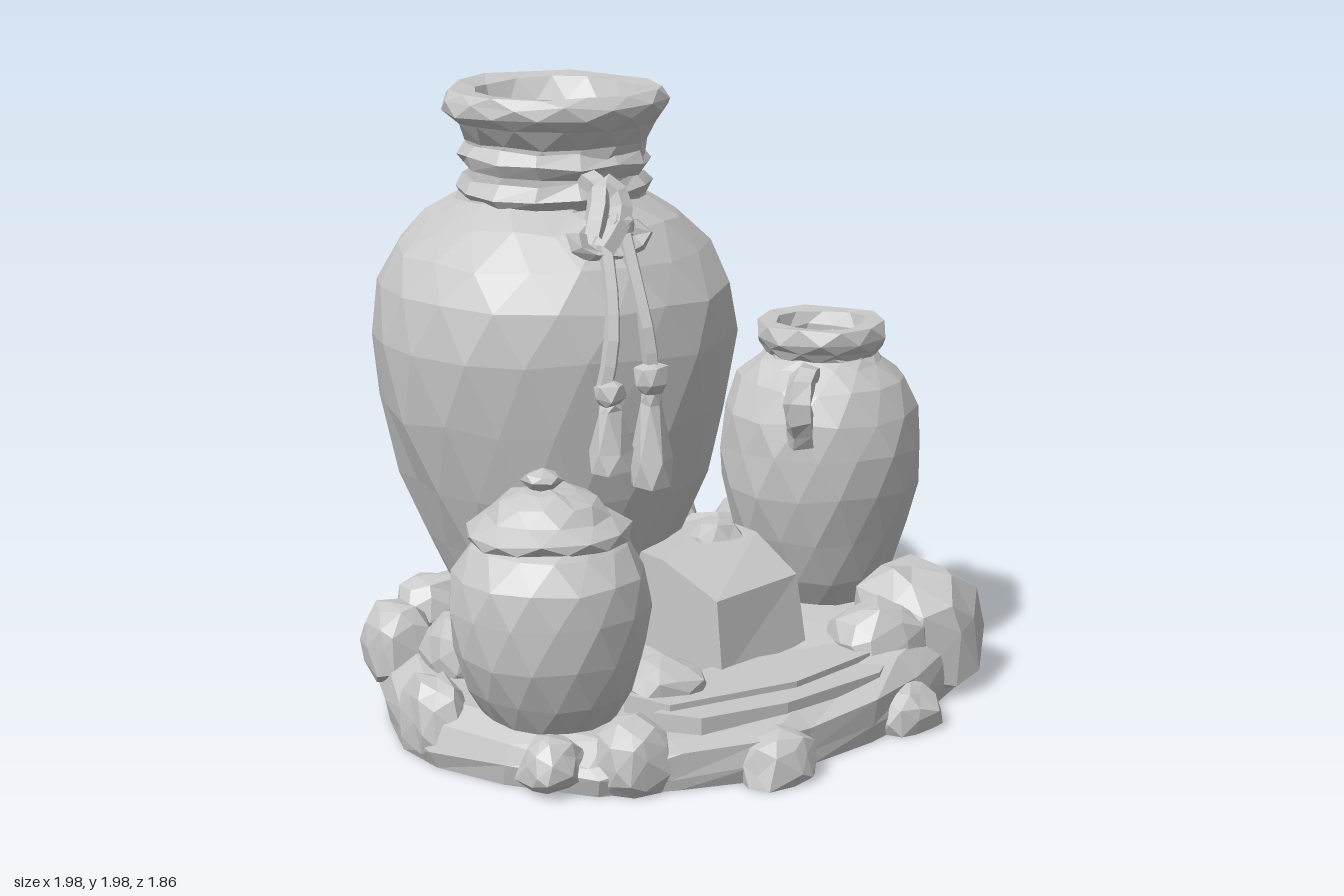
import * as THREE from 'three';

const stone = new THREE.MeshStandardMaterial({ color: 0xc8c8c8, flatShading: true });
stone.name = 'pale grey';

// Repeatable noise from a position, so coincident vertices move together
function noise(x, y, z, seed) {
  const k = (v) => Math.round(v * 100.37);
  const s = Math.sin(k(x) * 12.9898 + k(y) * 78.233 + k(z) * 37.719 + seed * 4.137) * 43758.5453;
  return (s - Math.floor(s)) * 2 - 1;
}

function roughen(geo, amount, seed = 1) {
  const p = geo.attributes.position;
  for (let i = 0; i < p.count; i++) {
    const [x, y, z] = [p.getX(i), p.getY(i), p.getZ(i)];
    p.setXYZ(i, x + amount * noise(x, y, z, seed), y + amount * noise(x, y, z, seed + 7), z + amount * noise(x, y, z, seed + 13));
  }
  geo.computeVertexNormals();
  return geo;
}

function add(parent, name, geo, x = 0, y = 0, z = 0) {
  const mesh = new THREE.Mesh(geo, stone);
  mesh.name = name;
  mesh.position.set(x, y, z);
  parent.add(mesh);
  return mesh;
}

// Turned form whose rings are staggered by half a side, giving triangular facets
function lathe(points, sides, amount, seed) {
  const geo = new THREE.LatheGeometry(points.map(([r, y]) => new THREE.Vector2(r, y)), sides);
  const p = geo.attributes.position, v = new THREE.Vector3(), up = new THREE.Vector3(0, 1, 0);
  for (let i = 0; i < p.count; i++) {
    v.fromBufferAttribute(p, i).applyAxisAngle(up, ((i % points.length) * Math.PI) / sides);
    p.setXYZ(i, v.x, v.y, v.z);
  }
  return roughen(geo, amount, seed);
}

function tube(points, radius, steps = 6, sides = 5) {
  const curve = new THREE.CatmullRomCurve3(points.map((p) => new THREE.Vector3(...p)));
  return new THREE.TubeGeometry(curve, steps, radius, sides);
}

// Blocky faceted rock that widens toward its foot, cut flat at the ground
function rock(parent, x, y, z, rx, ry, rz, seed) {
  const geo = roughen(new THREE.IcosahedronGeometry(1, 1), 0.13, seed);
  const p = geo.attributes.position;
  const square = (v) => Math.sign(v) * Math.min(Math.abs(v) ** 0.85, 1);
  for (let i = 0; i < p.count; i++) {
    const h = square(p.getY(i)), spread = 1 - 0.12 * h;
    p.setXYZ(i, square(p.getX(i)) * rx * spread, Math.max(h * ry, 0.01 - y), square(p.getZ(i)) * rz * spread);
  }
  geo.computeVertexNormals();
  add(parent, 'rock', geo, x, y, z);
}

// Irregular rocky island built from rings of one outline
function islandGeometry() {
  const outline = [[-0.99, 0.02], [-0.97, 0.22], [-0.86, 0.45], [-0.66, 0.69], [-0.42, 0.77], [-0.18, 0.83], [0.05, 0.8],
    [0.32, 0.74], [0.58, 0.64], [0.86, 0.46], [0.98, 0.3], [0.985, 0.08], [0.92, -0.2], [0.8, -0.48], [0.57, -0.68],
    [0.22, -0.81], [-0.2, -0.85], [-0.55, -0.72], [-0.8, -0.48], [-0.92, -0.22]];
  const rings = [[0.98, 0], [1, 0.35], [0.98, 0.72], [0.89, 0.98], [0.5, 1.03]];
  const n = outline.length, pos = [], idx = [];
  rings.forEach(([s, f], r) => outline.forEach(([x, z]) => {
    const wobble = r ? 0.02 * noise(x, r, z, 3) : 0;
    pos.push(x * s + wobble, 0.01 + f * (0.23 - 0.08 * z + 0.04 * x) + wobble * (r < 4 ? 1 : 0.4), z * s + wobble);
  }));
  const top = rings.length * n, bottom = top + 1;
  pos.push(0, 0.25, 0, 0, 0.01, 0);
  for (let i = 0; i < n; i++) {
    const j = (i + 1) % n;
    for (let r = 0; r < rings.length - 1; r++) {
      const a = r * n + i, b = r * n + j;
      idx.push(a, b, b + n, a, b + n, a + n);
    }
    idx.push(top - n + i, top - n + j, top, j, i, bottom);
  }
  const geo = new THREE.BufferGeometry();
  geo.setAttribute('position', new THREE.Float32BufferAttribute(pos, 3));
  geo.setIndex(idx);
  geo.computeVertexNormals();
  return geo;
}

function extrude(points, depth) {
  const shape = new THREE.Shape(points.map(([x, y]) => new THREE.Vector2(x, y)));
  return new THREE.ExtrudeGeometry(shape, { depth, bevelEnabled: false });
}

// Flat stone with a polygon plan given as [x, z] points
function slab(parent, points, y, height) {
  const geo = extrude(points.map(([x, z]) => [x, -z]), height).rotateX(-Math.PI / 2);
  add(parent, 'slab', geo, 0, y, 0);
}

export function createModel() {
  const model = new THREE.Group();
  model.name = 'jarsOnRocks';

  // Ground
  const ground = new THREE.Group();
  ground.name = 'rockyGround';
  model.add(ground);
  add(ground, 'island', islandGeometry());
  const rocks = [
    [0.77, 0.19, 0.32, 0.22, 0.23, 0.22], [0.56, 0.22, 0.4, 0.17, 0.13, 0.15], [-0.27, 0.22, 0.42, 0.13, 0.09, 0.14],
    [-0.52, 0.11, 0.67, 0.12, 0.13, 0.1], [-0.1, 0.06, 0.81, 0.13, 0.11, 0.11], [0.49, 0.05, 0.65, 0.12, 0.1, 0.11],
    [-0.9, 0.13, 0.1, 0.09, 0.14, 0.16], [-0.74, 0.1, 0.56, 0.1, 0.09, 0.1], [-0.81, 0.23, -0.34, 0.11, 0.14, 0.13],
    [-0.69, 0.25, -0.1, 0.14, 0.13, 0.14], [0.64, 0.29, -0.54, 0.13, 0.17, 0.14], [0.44, 0.32, -0.38, 0.17, 0.15, 0.15],
    [0.87, 0.16, 0.02, 0.11, 0.13, 0.18], [-0.58, 0.28, -0.51, 0.15, 0.1, 0.12], [0.18, 0.46, 0.02, 0.12, 0.13, 0.1],
    [0.34, 0.36, -0.64, 0.15, 0.16, 0.14],
  ];
  rocks.forEach((r, i) => rock(ground, ...r, i + 2));

  // Sloped block before the tall jar, side profile as [z, y], and thin layered slabs
  const profile = [[0.24, 0.2], [0.19, 0.42], [-0.03, 0.52], [-0.25, 0.55], [-0.25, 0.2]];
  const block = extrude(profile.map(([z, y]) => [-z, y]).reverse(), 0.42).rotateY(Math.PI / 2).translate(-0.21, 0, 0);
  add(ground, 'block', roughen(block, 0.02, 5), 0.1, 0, 0.14).rotation.y = 0.2;
  slab(ground, [[-0.42, 0.44], [-0.35, 0.6], [0.1, 0.62], [0.5, 0.5], [0.4, 0.38], [0, 0.36]], 0.13, 0.09);
  slab(ground, [[-0.4, 0.58], [-0.3, 0.7], [0, 0.72], [0.4, 0.64], [0.55, 0.5], [0, 0.5]], 0.1, 0.1);

  // Tall jar
  const tall = new THREE.Group();
  tall.name = 'tallJar';
  tall.position.set(-0.215, 0, -0.36);
  model.add(tall);
  add(tall, 'tallJarBody', lathe([[0, 0.2], [0.28, 0.2], [0.35, 0.36], [0.42, 0.52], [0.5, 0.73], [0.565, 0.97],
    [0.59, 1.2], [0.575, 1.36], [0.51, 1.48], [0.41, 1.58], [0.305, 1.64], [0.275, 1.7], [0.27, 1.8]], 19, 0.012, 2));
  add(tall, 'tallJarRim', lathe([[0.275, 1.76], [0.285, 1.82], [0.325, 1.885], [0.362, 1.92], [0.362, 1.96], [0.34, 1.988],
    [0.27, 1.975], [0.235, 1.91], [0.23, 1.74], [0, 1.73]], 14, 0.008, 4), 0.01, 0, 0.015);

  // Rope bands around the neck
  [[1.675, 0.28, 0.02], [1.765, 0.275, -0.05]].forEach(([y, r, tilt], i) => {
    const ring = roughen(new THREE.TorusGeometry(r, 0.042, 5, 14), 0.009, i + 3).rotateX(Math.PI / 2);
    add(tall, 'ropeBand', ring, 0, y, 0.01).rotation.z = tilt;
  });

  // Knot, hanging cords and tassels
  const cord = new THREE.Group();
  cord.name = 'knottedCord';
  model.add(cord);
  const loop = roughen(new THREE.TorusGeometry(0.1, 0.033, 5, 9), 0.008, 6).scale(1.15, 0.6, 1);
  add(cord, 'knotLoop', loop, -0.265, 1.57, 0.09).rotation.x = -0.4;
  add(cord, 'knotBow', tube([[-0.33, 1.58, 0.1], [-0.29, 1.67, 0.07], [-0.25, 1.73, 0.02], [-0.21, 1.69, 0.06],
    [-0.23, 1.62, 0.1], [-0.3, 1.54, 0.12]], 0.037, 9));
  add(cord, 'knotLink', tube([[-0.25, 1.73, -0.08], [-0.25, 1.72, -0.01], [-0.23, 1.67, 0.04]], 0.037, 4));
  rock(cord, -0.23, 1.61, 0.09, 0.05, 0.045, 0.045, 4);
  const hanging = [
    { points: [[-0.29, 1.56, 0.11], [-0.31, 1.4, 0.185], [-0.34, 1.25, 0.235], [-0.37, 1.13, 0.24]], foot: [-0.355, 0.88, 0.25] },
    { points: [[-0.22, 1.58, 0.11], [-0.215, 1.4, 0.19], [-0.21, 1.28, 0.235], [-0.2, 1.16, 0.245]], foot: [-0.205, 0.81, 0.245] },
  ];
  hanging.forEach(({ points, foot }, i) => {
    add(cord, 'cordStrand', tube(points, 0.027));
    const end = points[3], h = end[1] - foot[1];
    add(cord, 'tassel', lathe([[0, 0], [0.07, 0], [0.068, h * 0.25], [0.038, h * 0.75], [0.034, h * 0.84],
      [0.055, h * 0.92], [0.047, h * 1.08], [0, h * 1.14]], 6, 0.006, i + 8), ...foot);
  });

  // Two-handled jar
  const handled = new THREE.Group();
  handled.name = 'handledJar';
  handled.position.set(0.6, 0, -0.01);
  model.add(handled);
  add(handled, 'handledJarBody', lathe([[0, 0.24], [0.18, 0.25], [0.24, 0.36], [0.29, 0.5], [0.332, 0.66], [0.34, 0.79],
    [0.325, 0.91], [0.28, 1.01], [0.21, 1.07], [0.18, 1.09], [0.18, 1.12]], 15, 0.009, 9));
  add(handled, 'handledJarRim', lathe([[0.175, 1.08], [0.205, 1.115], [0.222, 1.15], [0.21, 1.198], [0.15, 1.195],
    [0.13, 1.15], [0.13, 1.06], [0, 1.05]], 10, 0.006, 3));
  [0, Math.PI].forEach((turn) => {
    const handle = tube([[0.19, 1.05, 0], [0.29, 1.07, 0], [0.35, 1.03, 0], [0.36, 0.96, 0], [0.31, 0.85, 0]], 0.042, 7);
    add(handled, 'handle', roughen(handle.scale(1, 1, 1.15), 0.006, 4)).rotation.y = Math.PI / 4 + turn;
  });

  // Lidded pot
  const pot = new THREE.Group();
  pot.name = 'liddedPot';
  pot.position.set(-0.635, 0, 0.365);
  model.add(pot);
  add(pot, 'potBody', lathe([[0, 0.17], [0.2, 0.18], [0.255, 0.27], [0.298, 0.4], [0.311, 0.53], [0.295, 0.64], [0.24, 0.72],
    [0.2, 0.75]], 14, 0.008, 5));
  add(pot, 'potLid', lathe([[0.18, 0.73], [0.25, 0.745], [0.25, 0.775], [0.19, 0.81], [0.15, 0.86], [0.08, 0.885], [0, 0.89]], 11, 0.008, 6));
  add(pot, 'potKnob', lathe([[0.03, 0.86], [0.035, 0.89], [0.065, 0.915], [0.05, 0.935], [0, 0.955]], 6, 0.004, 2), -0.015, 0, -0.01);

  return model;
}
